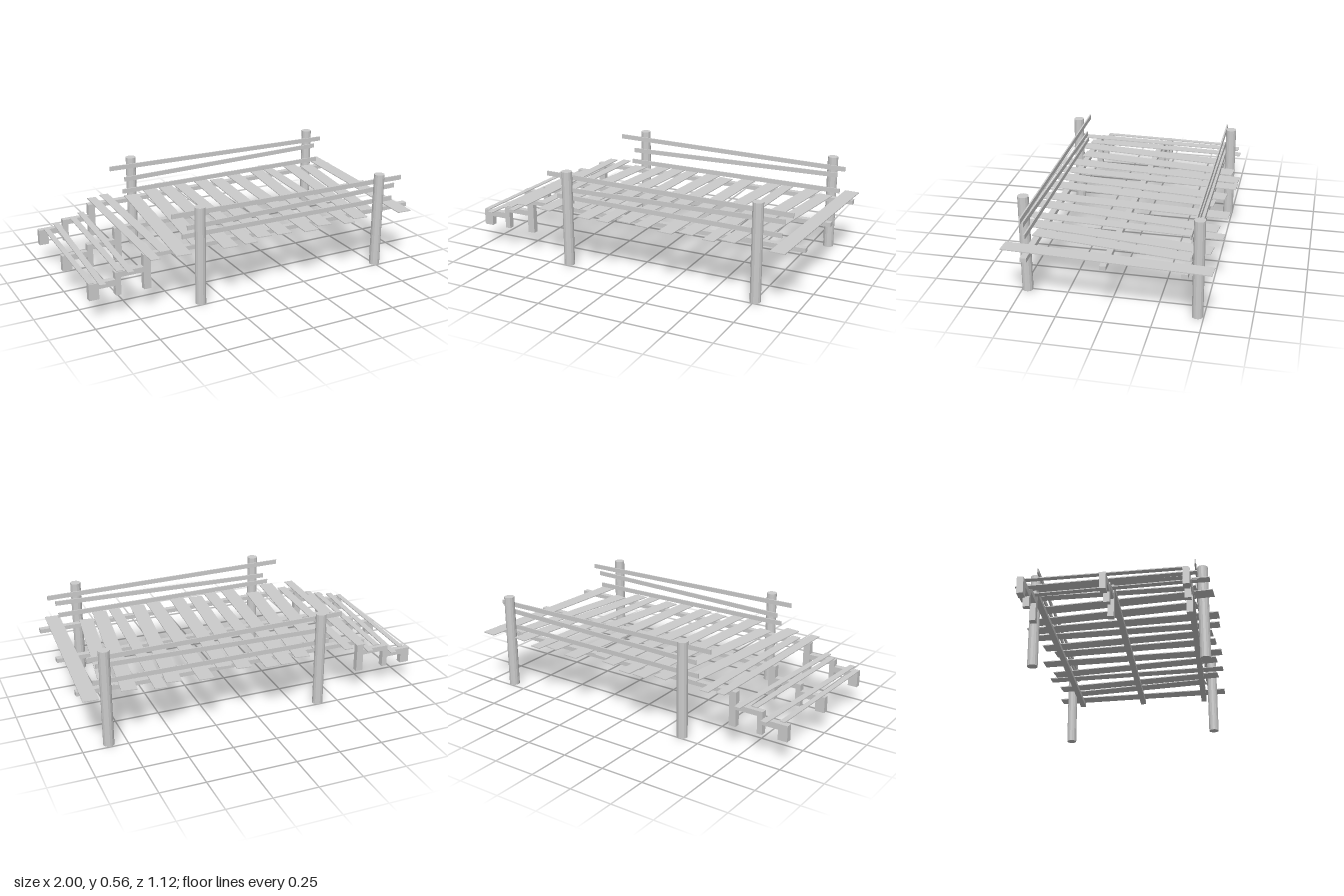
import * as THREE from 'three';

const material = new THREE.MeshStandardMaterial({ color: 0xcccccc, flatShading: true });

export function createModel() {
  const model = new THREE.Group();

  function add(name, geometry, x, y, z) {
    const mesh = new THREE.Mesh(geometry, material);
    mesh.name = name;
    mesh.position.set(x, y, z);
    model.add(mesh);
    return mesh;
  }

  // Stepped stringers: deck beam with two steps and short legs
  const profile = new THREE.Shape([
    [1, 0.325], [-0.693, 0.325], [-0.693, 0.257], [-0.853, 0.257],
    [-0.853, 0.218], [-1, 0.218], [-1, 0.127], [-0.945, 0.127],
    [-0.945, 0.184], [-0.853, 0.184], [-0.853, 0.127], [-0.822, 0.127],
    [-0.822, 0.227], [-0.693, 0.227], [-0.693, 0.127], [-0.652, 0.127],
    [-0.652, 0.301], [1, 0.301],
  ].map(([x, y]) => new THREE.Vector2(x, y)));
  const beam = new THREE.ExtrudeGeometry(profile, { depth: 0.034, bevelEnabled: false });
  for (const z of [-0.418, -0.004, 0.408]) add('stringer', beam, 0, 0, z - 0.017);

  // Round posts
  const post = new THREE.CylinderGeometry(0.03, 0.03, 0.555, 14);
  for (const [x, z] of [[-0.385, -0.475], [0.85, -0.467], [-0.385, 0.471], [0.755, 0.472]]) {
    add('post', post, x, 0.2775, z);
  }

  // Crooked planks: back x, back z, front x, front z, width
  function plank(name, y, [x0, z0, x1, z1, width]) {
    const length = Math.hypot(x1 - x0, z1 - z0);
    const mesh = add(name, new THREE.BoxGeometry(width, 0.005, length), (x0 + x1) / 2, y, (z0 + z1) / 2);
    mesh.rotation.y = Math.atan2(x1 - x0, z1 - z0);
  }
  const lowerTreads = [[-0.955, -0.41, -0.985, 0.42, 0.03], [-0.877, -0.468, -0.936, 0.462, 0.035]];
  const upperTreads = [[-0.79, -0.41, -0.825, 0.42, 0.035], [-0.72, -0.468, -0.78, 0.462, 0.035]];
  const deck = [
    [-0.636, -0.5, -0.663, 0.516, 0.053],
    [-0.55, -0.52, -0.578, 0.44, 0.053],
    [-0.406, -0.44, -0.508, 0.53, 0.085],
    [-0.262, -0.51, -0.374, 0.435, 0.085],
    [-0.155, -0.555, -0.241, 0.55, 0.085],
    [-0.059, -0.555, -0.118, 0.55, 0.075],
    [0.086, -0.51, -0.011, 0.505, 0.085],
    [0.182, -0.457, 0.107, 0.52, 0.085],
    [0.321, -0.555, 0.262, 0.55, 0.085],
    [0.492, -0.52, 0.369, 0.515, 0.085],
    [0.578, -0.56, 0.513, 0.55, 0.066],
    [0.738, -0.52, 0.61, 0.515, 0.085],
    [0.83, -0.43, 0.715, 0.43, 0.08],
    [0.952, -0.555, 0.893, 0.55, 0.085],
  ];
  lowerTreads.forEach((p) => plank('lowerTread', 0.2205, p));
  upperTreads.forEach((p) => plank('upperTread', 0.2595, p));
  deck.forEach((p) => plank('deckPlank', 0.3275, p));

  // Sloping hand rails on the inside of the posts
  function rail(x0, y0, x1, y1, z) {
    const geometry = new THREE.BoxGeometry(Math.hypot(x1 - x0, y1 - y0), 0.027, 0.008);
    const mesh = add('rail', geometry, (x0 + x1) / 2, (y0 + y1) / 2, z);
    mesh.rotation.z = Math.atan2(y1 - y0, x1 - x0);
  }
  for (const z of [-0.435, 0.437]) {
    rail(-0.535, 0.514, 0.935, 0.497, z);
    rail(-0.445, 0.434, 0.89, 0.456, z);
  }
  rail(-0.475, 0.39, 0.877, 0.379, 0.437);
  rail(-0.46, 0.36, 0.91, 0.361, -0.435);

  return model;
}
